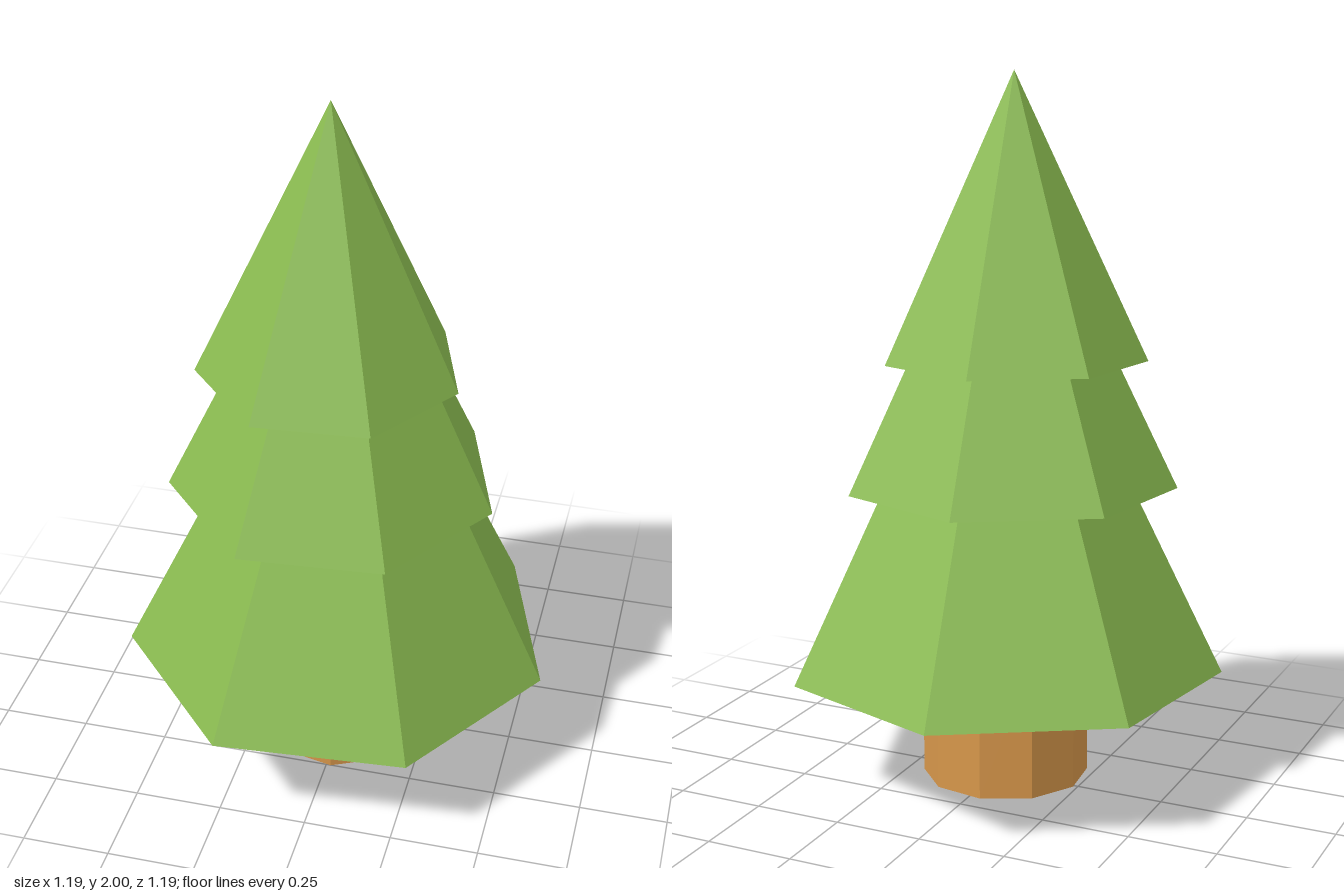
import * as THREE from 'three';

const GREEN = 0x8abb50;
const BROWN = 0xd6964a;
const DEG = Math.PI / 180;

function makeMaterial(color) {
  return new THREE.MeshStandardMaterial({ color, flatShading: true });
}

// Whole tree leans very slightly; every part shares this tilt
function place(mesh, name, x, y, z) {
  mesh.name = name;
  mesh.position.set(x, y, z);
  mesh.rotation.set(0.02, 0, -0.0115);
  return mesh;
}

export function createModel() {
  const tree = new THREE.Group();
  tree.name = 'pineTree';
  const leaf = makeMaterial(GREEN);
  const bark = makeMaterial(BROWN);

  // Trunk, standing on the ground and running up into the lowest tier
  const trunkGeo = new THREE.CylinderGeometry(0.235, 0.235, 0.4, 10, 1, false, 7 * DEG);
  trunkGeo.translate(0, 0.2, 0);
  tree.add(place(new THREE.Mesh(trunkGeo, bark), 'trunk', -0.015, 0.006, 0.018));

  // Foliage tiers: seven-sided closed cones with flat undersides
  const tiers = [
    { name: 'lowerFoliage', at: [-0.014, 0.328, 0.017], radius: 0.615, height: 1.26 },
    { name: 'middleFoliage', at: [-0.031, 0.863, 0.0136], radius: 0.465, height: 0.96 },
    { name: 'upperFoliage', at: [-0.044, 1.22, 0.009], radius: 0.368, height: 0.78 },
  ];
  for (const { name, at, radius, height } of tiers) {
    const geo = new THREE.ConeGeometry(radius, height, 7, 1, false, 82.1 * DEG);
    geo.translate(0, height / 2, 0);
    tree.add(place(new THREE.Mesh(geo, leaf), name, ...at));
  }
  return tree;
}
